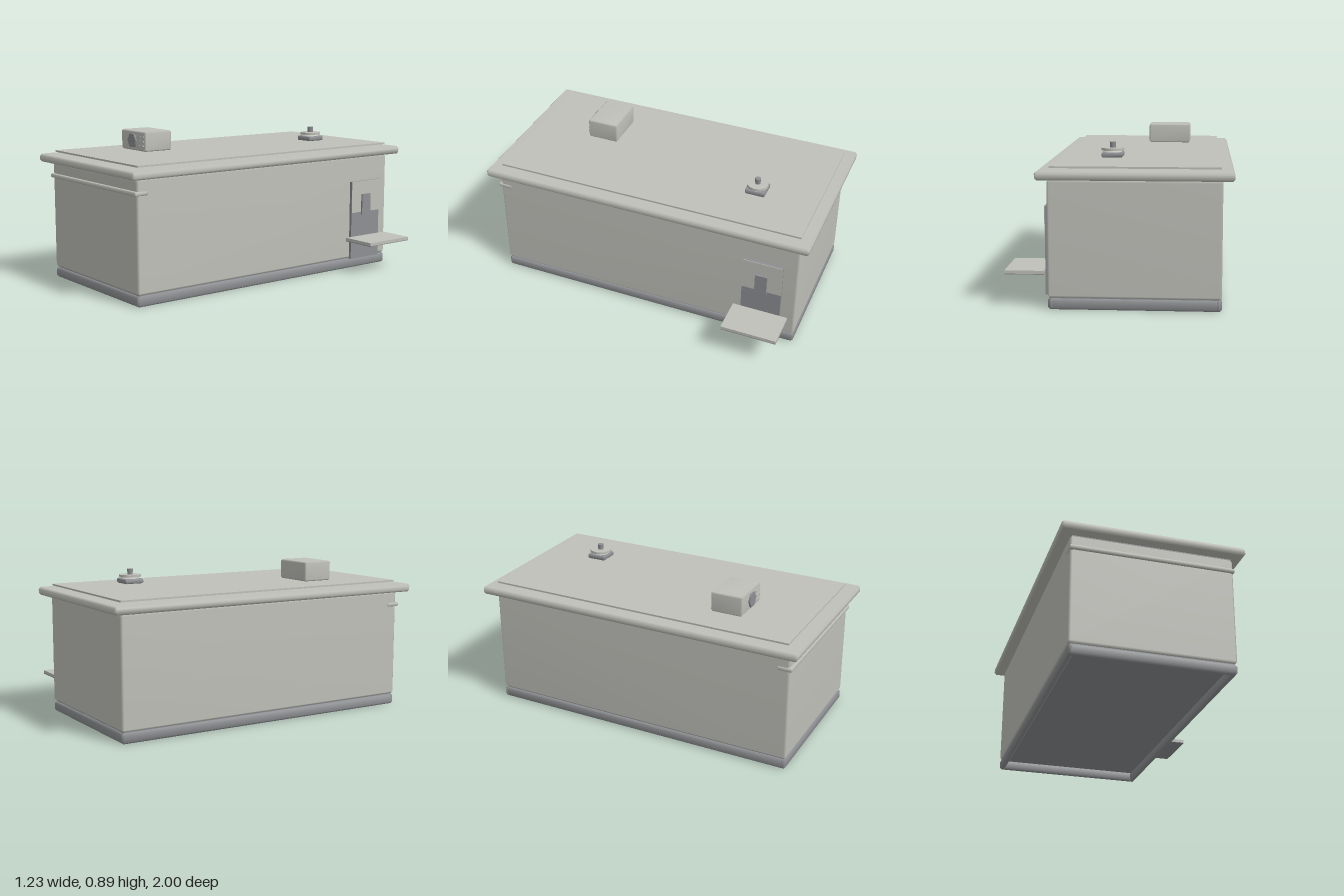
import * as THREE from 'three';
import { ConvexGeometry } from 'three/addons/geometries/ConvexGeometry.js';
import { mergeVertices } from 'three/addons/utils/BufferGeometryUtils.js';

// Box with all edges chamfered by c and softly shaded, given as min/max ranges
function chamferBox([x0, x1], [y0, y1], [z0, z1], c) {
  const points = [];
  for (const [x, sx] of [[x0, 1], [x1, -1]])
    for (const [y, sy] of [[y0, 1], [y1, -1]])
      for (const [z, sz] of [[z0, 1], [z1, -1]])
        points.push(
          new THREE.Vector3(x, y + sy * c, z + sz * c),
          new THREE.Vector3(x + sx * c, y, z + sz * c),
          new THREE.Vector3(x + sx * c, y + sy * c, z)
        );
  const hull = new ConvexGeometry(points);
  hull.deleteAttribute('normal');
  const geometry = mergeVertices(hull);
  geometry.computeVertexNormals();
  return geometry;
}

function plainBox([x0, x1], [y0, y1], [z0, z1]) {
  return new THREE.BoxGeometry(x1 - x0, y1 - y0, z1 - z0)
    .translate((x0 + x1) / 2, (y0 + y1) / 2, (z0 + z1) / 2);
}

export function createModel() {
  const model = new THREE.Group();
  model.name = 'cabin';
  const panel = new THREE.MeshStandardMaterial({ name: 'pale grey panel', color: 0xc0c0ba });
  const trim = new THREE.MeshStandardMaterial({ name: 'mid grey trim', color: 0x8e9093 });

  const add = (name, geometry, material, parent = model) => {
    const mesh = new THREE.Mesh(geometry, material);
    mesh.name = name;
    parent.add(mesh);
    return mesh;
  };

  // Plinth: a hollow frame of four bars under a recessed floor
  const plinth = new THREE.Group();
  plinth.name = 'plinth';
  model.add(plinth);
  for (const x of [-0.555, 0.34])
    add('plinthSideBar', chamferBox([x, x + 0.035], [0, 0.06], [-0.94, 0.94], 0.012), trim, plinth);
  for (const z of [-0.94, 0.905])
    add('plinthEndBar', chamferBox([-0.555, 0.375], [0, 0.06], [z, z + 0.035], 0.012), trim, plinth);
  add('floor', plainBox([-0.54, 0.36], [0.055, 0.075], [-0.925, 0.925]), trim);

  // Walls and front ledge
  add('walls', chamferBox([-0.555, 0.375], [0.065, 0.7], [-0.94, 0.94], 0.012), panel);
  add('frontLedge', chamferBox([-0.56, 0.38], [0.611, 0.636], [0.87, 0.955], 0.006), panel);

  // Roof slab and the thin deck floating above it
  add('roofNeck', plainBox([-0.545, 0.365], [0.69, 0.71], [-0.93, 0.93]), trim);
  add('roofSlab', chamferBox([-0.615, 0.432], [0.705, 0.752], [-1, 1], 0.012), panel);
  add('roofDeck', plainBox([-0.545, 0.362], [0.763, 0.773], [-0.935, 0.925]), panel);

  // Door on the left wall: dark slab, pale upper face and a window
  const door = new THREE.Group();
  door.name = 'door';
  model.add(door);
  add('doorSlab', plainBox([0.38, 0.397], [0.062, 0.55], [-0.857, -0.62]), trim, door);
  add('doorUpperFace', plainBox([0.397, 0.4], [0.355, 0.55], [-0.857, -0.62]), panel, door);
  add('doorWindow', plainBox([0.398, 0.41], [0.338, 0.468], [-0.772, -0.7]), trim, door);

  // Step outside the door
  add('step', plainBox([0.4, 0.612], [0.186, 0.204], [-0.905, -0.575]), panel);
  add('stepUnderside', plainBox([0.4, 0.612], [0.182, 0.186], [-0.905, -0.575]), trim);

  // Roof cooling unit with a six-sided fan and slats
  const cooler = new THREE.Group();
  cooler.name = 'coolingUnit';
  model.add(cooler);
  add('coolerCase', chamferBox([-0.366, -0.105], [0.777, 0.894], [0.385, 0.575], 0.009), panel, cooler);
  add('coolerFan', new THREE.CylinderGeometry(0.045, 0.045, 0.014, 6)
    .rotateY(Math.PI / 6).rotateX(Math.PI / 2).translate(-0.235, 0.836, 0.579), trim, cooler);
  for (let i = 0; i < 3; i++) {
    const y = 0.807 + i * 0.027;
    add('coolerSlat', plainBox([-0.185, -0.117], [y, y + 0.006], [0.573, 0.58]), panel, cooler);
  }

  // Roof vent: square foot, cone, cap and stub pipe
  const vent = new THREE.Group();
  vent.name = 'roofVent';
  vent.position.set(0.052, 0, -0.577);
  model.add(vent);
  add('ventFoot', chamferBox([-0.059, 0.059], [0.787, 0.815], [-0.059, 0.059], 0.006), trim, vent);
  add('ventCone', new THREE.CylinderGeometry(0.035, 0.055, 0.014, 12).translate(0, 0.82, 0), panel, vent);
  add('ventCap', new THREE.CylinderGeometry(0.064, 0.064, 0.014, 12).translate(0, 0.831, 0), panel, vent);
  add('ventPipe', new THREE.CylinderGeometry(0.018, 0.016, 0.034, 8).translate(0, 0.854, 0), trim, vent);

  return model;
}
